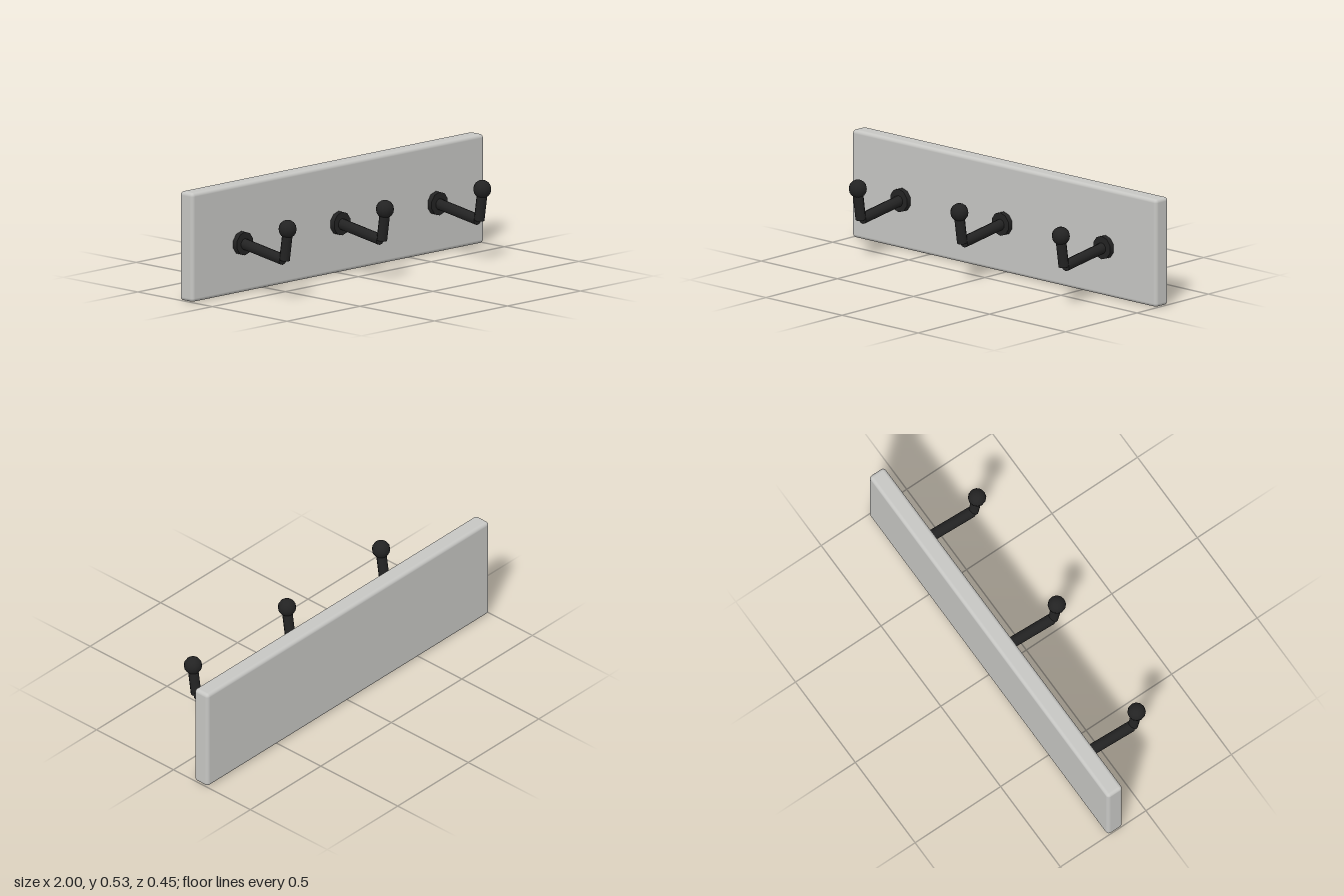
import * as THREE from 'three';
import { RoundedBoxGeometry } from 'three/addons/geometries/RoundedBoxGeometry.js';

const boardGrey = new THREE.MeshStandardMaterial({ color: 0xc6c6c3 });
boardGrey.name = 'boardGrey';
const hookBlack = new THREE.MeshStandardMaterial({ color: 0x232323 });
hookBlack.name = 'hookBlack';

function part(name, geometry, material, y, z, tilt = 0) {
  const mesh = new THREE.Mesh(geometry, material);
  mesh.name = name;
  mesh.position.set(0, y, z);
  mesh.rotation.x = tilt;
  return mesh;
}

// Straight rod between two points given as [y, z]
function rod(name, radius, [y0, z0], [y1, z1]) {
  const length = Math.hypot(y1 - y0, z1 - z0);
  const geometry = new THREE.CylinderGeometry(radius, radius, length, 10);
  return part(name, geometry, hookBlack, (y0 + y1) / 2, (z0 + z1) / 2, Math.atan2(z1 - z0, y1 - y0));
}

// One peg: wall plate, sloping arm, upturned tip and ball end
function createHook(x) {
  const hook = new THREE.Group();
  hook.name = 'hook';
  hook.add(rod('mountingPlate', 0.0575, [0.2445, -0.135], [0.2445, -0.107]));
  hook.add(rod('arm', 0.0272, [0.2433, -0.116], [0.203, 0.1485]));
  hook.add(rod('upturnedTip', 0.0255, [0.202, 0.158], [0.355, 0.181]));
  hook.add(part('ballEnd', new THREE.SphereGeometry(0.0444, 12, 8), hookBlack, 0.3565, 0.1785));
  hook.position.x = x;
  return hook;
}

export function createModel() {
  const model = new THREE.Group();
  model.name = 'wallHookRack';

  // Backing board with softened edges
  model.add(part('board', new RoundedBoxGeometry(2, 0.533, 0.0889, 4, 0.0178), boardGrey, 0.2667, -0.1778));

  for (const x of [-0.667, 0, 0.667]) model.add(createHook(x));
  return model;
}
